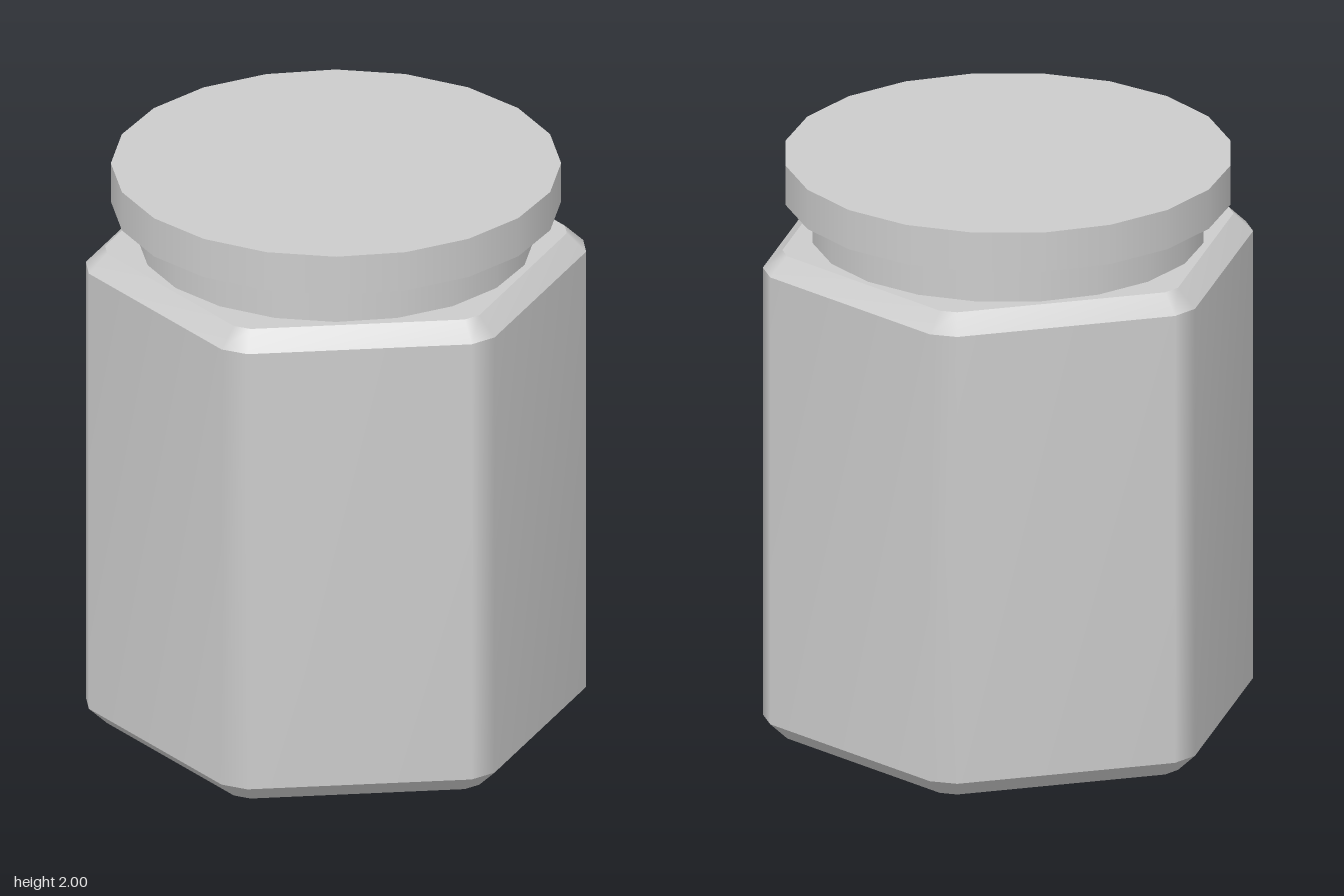
import * as THREE from 'three';
import { mergeVertices } from 'three/addons/utils/BufferGeometryUtils.js';

const APOTHEM = 0.745, CORNER = 0.833, BEVEL = 0.063;
const BODY_TOP = 1.72;

// Hexagon with clipped corners, as [x, z] points, moved inwards by inset
function outline(inset) {
  const r = CORNER - inset;
  const w = ((APOTHEM - inset) / Math.cos(Math.PI / 6) - r) * Math.sqrt(3);
  const pts = [];
  for (let k = 0; k < 6; k++) {
    const a = Math.PI / 6 + (k * Math.PI) / 3;
    const s = Math.sin(a), c = Math.cos(a);
    for (const t of [-w, w]) pts.push([r * s + t * c, r * c - t * s]);
  }
  return pts;
}

// Ring of wall between two outlines, smooth around the clipped corners
function band(y0, y1, inset0, inset1) {
  let geo = new THREE.CylinderGeometry(1, 1, 1, 12, 1, true);
  const pos = geo.attributes.position;
  const top = outline(inset1), bottom = outline(inset0);
  for (let i = 0; i < pos.count; i++) {
    const isTop = i < 13;
    const [x, z] = (isTop ? top : bottom)[i % 13 % 12];
    pos.setXYZ(i, x, isTop ? y1 : y0, z);
  }
  geo.deleteAttribute('normal');
  geo.deleteAttribute('uv');
  geo = mergeVertices(geo);
  geo.computeVertexNormals();
  return geo;
}

// Flat face closing the body; dir is 1 for up and -1 for down
function cap(y, dir) {
  const shape = new THREE.Shape(outline(BEVEL).map(([x, z]) => new THREE.Vector2(x, z)));
  return new THREE.ShapeGeometry(shape).rotateX((-dir * Math.PI) / 2).translate(0, y, 0);
}

export function createModel() {
  const group = new THREE.Group();
  const material = new THREE.MeshStandardMaterial({ color: 0xcccccc });
  const add = (parent, name, geo) => {
    const mesh = new THREE.Mesh(geo, material);
    mesh.name = name;
    parent.add(mesh);
  };

  // Six-sided jar body with bevelled top and bottom edges
  const body = new THREE.Group();
  body.name = 'body';
  group.add(body);
  add(body, 'base', cap(0, -1));
  add(body, 'lowerBevel', band(0, BEVEL, BEVEL, 0));
  add(body, 'walls', band(BEVEL, BODY_TOP - BEVEL, 0, 0));
  add(body, 'upperBevel', band(BODY_TOP - BEVEL, BODY_TOP, 0, BEVEL));
  add(body, 'shoulder', cap(BODY_TOP, 1));

  // Round neck and wider lid
  add(group, 'neck', new THREE.CylinderGeometry(0.66, 0.66, 0.16, 20).translate(0, 1.79, 0));
  add(group, 'lid', new THREE.CylinderGeometry(0.75, 0.75, 0.14, 20).translate(0, 1.93, 0));
  return group;
}
